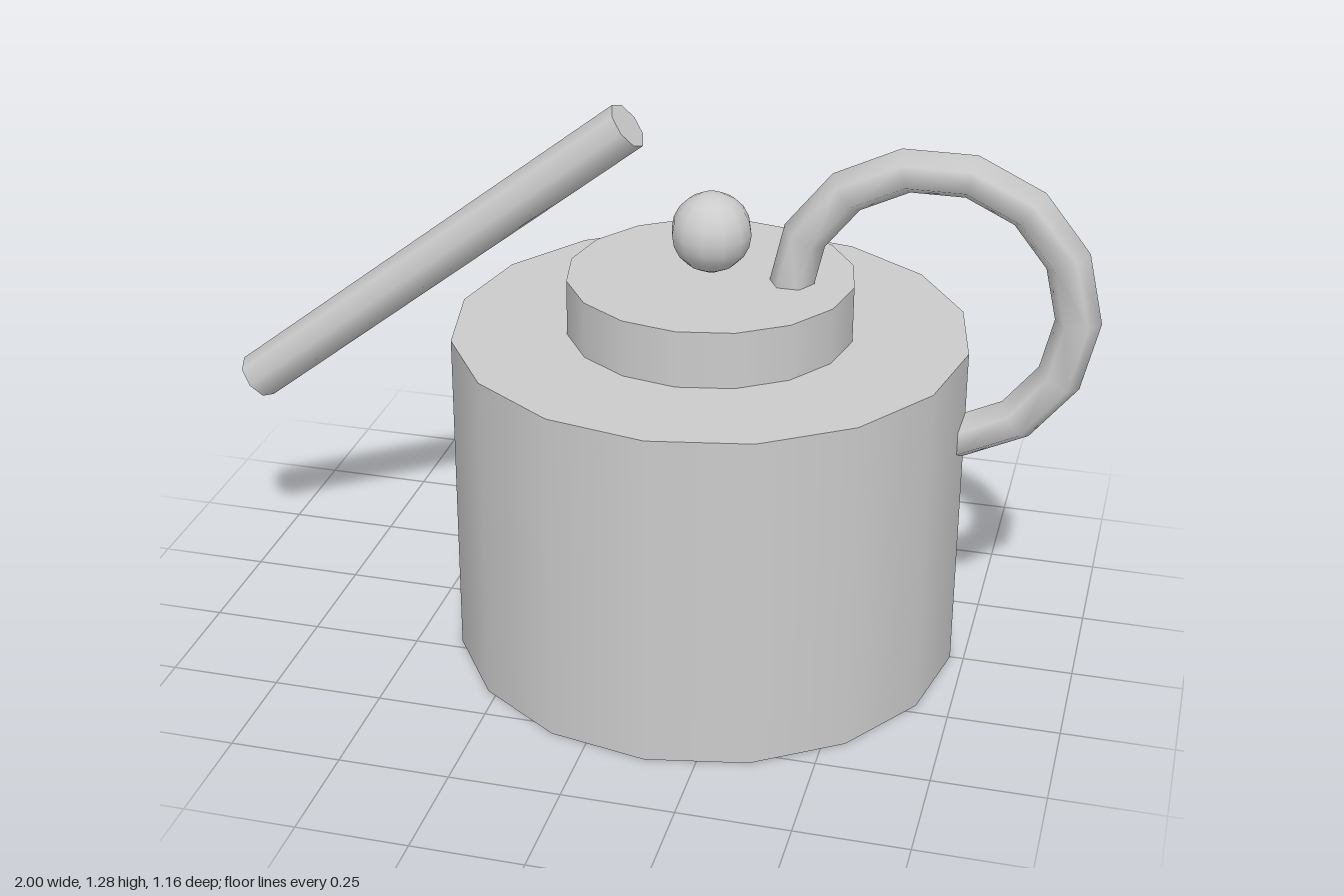
import * as THREE from 'three';

export function createModel() {
  const group = new THREE.Group();
  const material = new THREE.MeshStandardMaterial({ color: 0xcccccc });
  const axisX = 0.139; // shared vertical axis of body, lid and knob

  const add = (name, geometry, x, y) => {
    const mesh = new THREE.Mesh(geometry, material);
    mesh.name = name;
    mesh.position.set(x, y, 0);
    group.add(mesh);
    return mesh;
  };

  // Body and lid: stacked 16-sided drums
  const bodyHeight = 0.776, lidHeight = 0.129;
  add('body', new THREE.CylinderGeometry(0.58, 0.58, bodyHeight, 16), axisX, bodyHeight / 2);
  add('lid', new THREE.CylinderGeometry(0.322, 0.322, lidHeight, 16), axisX, bodyHeight + lidHeight / 2);

  // Knob floating just above the lid
  add('knob', new THREE.SphereGeometry(0.09, 12, 10), axisX, 1.004);

  // Handle: six-sided ring sunk into the lid and the side of the body
  add('handle', new THREE.TorusGeometry(0.316, 0.05, 6, 14), 0.632, 0.88);

  // Spout: slanted rod between its two end centres
  const low = new THREE.Vector3(-0.966, 0.517, 0);
  const high = new THREE.Vector3(-0.051, 1.233, 0);
  const along = high.clone().sub(low);
  const spout = add('spout', new THREE.CylinderGeometry(0.056, 0.056, along.length(), 8),
    (low.x + high.x) / 2, (low.y + high.y) / 2);
  spout.quaternion.setFromUnitVectors(new THREE.Vector3(0, 1, 0), along.normalize());

  return group;
}
